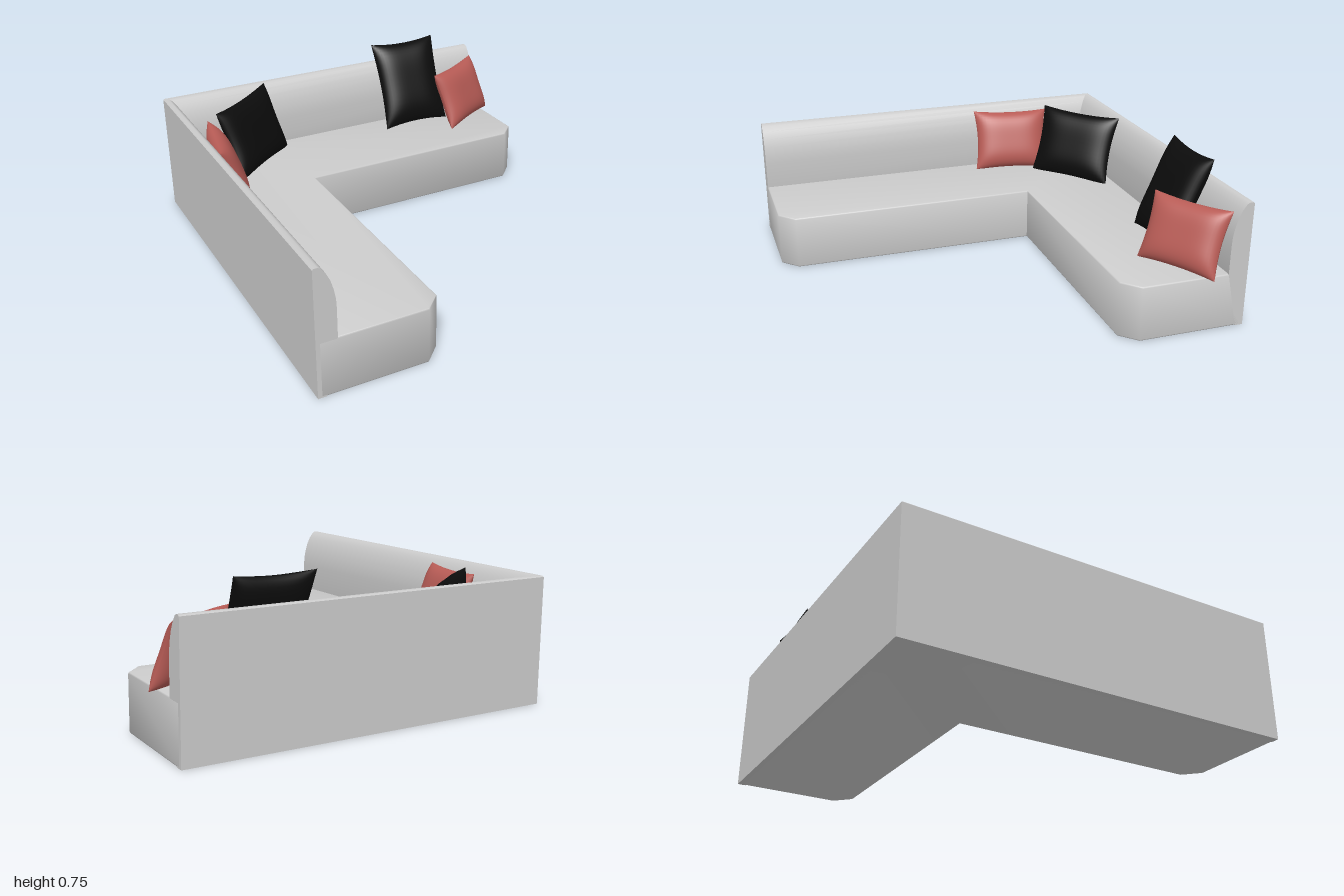
import * as THREE from 'three';
import { mergeGeometries, toCreasedNormals } from 'three/addons/utils/BufferGeometryUtils.js';

const grey = new THREE.MeshStandardMaterial({ color: 0xcccccc });
const red = new THREE.MeshStandardMaterial({ color: 0xb85c56 });
const black = new THREE.MeshStandardMaterial({ color: 0x0c0c0c });

const LEFT = -0.97, RIGHT = 0.93, BACK = -1, FRONT = 1, SEAT = 0.28;

function named(geometry, material, name) {
  const mesh = new THREE.Mesh(geometry, material);
  mesh.name = name;
  return mesh;
}

// L-shaped seat block with chamfered outer corners and softened edges
function seatGeometry() {
  const outline = [
    [LEFT + 0.02, BACK + 0.02], [RIGHT, BACK + 0.02], [RIGHT, -0.46], [0.85, -0.38],
    [-0.36, -0.38], [-0.36, 0.92], [-0.44, FRONT], [LEFT + 0.02, FRONT],
  ];
  const shape = new THREE.Shape(outline.map(([x, z]) => new THREE.Vector2(x, -z)));
  const b = 0.008;
  const g = new THREE.ExtrudeGeometry(shape, {
    depth: SEAT - 2 * b, bevelThickness: b, bevelSize: b, bevelOffset: -b, bevelSegments: 2,
  });
  g.rotateX(-Math.PI / 2).translate(0, b, 0);
  return toCreasedNormals(g, 0.9);
}

// Backrest: one rounded section swept round the mitred corner
function backrestGeometry() {
  // [distance from the back face, height]
  const profile = [
    [0, 0], [0.04, 0], [0.1, SEAT], [0.1, 0.42], [0.098, 0.465], [0.09, 0.51], [0.077, 0.555],
    [0.058, 0.595], [0.038, 0.622], [0.024, 0.63], [0.006, 0.63], [0, 0.624],
  ];
  const stations = [
    ([d, y]) => [LEFT + d, y, FRONT],
    ([d, y]) => [LEFT + d, y, BACK + d],
    ([d, y]) => [RIGHT, y, BACK + d],
  ].map((place) => profile.map(place));
  const n = profile.length, pos = [];
  const tri = (a, b, c) => pos.push(...a, ...b, ...c);
  for (let s = 0; s < 2; s++) {
    const A = stations[s], B = stations[s + 1];
    for (let i = 0; i < n; i++) {
      const j = (i + 1) % n;
      tri(A[i], B[i], B[j]);
      tri(A[i], B[j], A[j]);
    }
  }
  // End caps
  for (let i = 1; i < n - 1; i++) {
    tri(stations[0][0], stations[0][i], stations[0][i + 1]);
    tri(stations[2][0], stations[2][i + 1], stations[2][i]);
  }
  const g = new THREE.BufferGeometry();
  g.setAttribute('position', new THREE.Float32BufferAttribute(pos, 3));
  return toCreasedNormals(g, 0.7);
}

// Cushion: two bulging panels that meet in a seam with pulled-out corners
function cushionGeometry(width, height, thickness) {
  const panel = () => {
    const g = new THREE.PlaneGeometry(2, 2, 24, 24);
    const p = g.attributes.position;
    for (let i = 0; i < p.count; i++) {
      // Crowd the grid towards the seam, where the bulge is steepest
      const u = Math.sin(p.getX(i) * Math.PI / 2), v = Math.sin(p.getY(i) * Math.PI / 2);
      const fill = Math.max(0, (1 - u ** 4) * (1 - v ** 4));
      p.setXYZ(i,
        u * width / 2 * (1 - 0.08 * (1 - v * v)),
        v * height / 2 * (1 - 0.07 * (1 - u * u)),
        thickness / 2 * Math.pow(fill, 0.6));
    }
    g.computeVertexNormals();
    return g;
  };
  return mergeGeometries([panel(), panel().rotateY(Math.PI)]);
}

export function createModel() {
  const model = new THREE.Group();
  model.name = 'cornerSofa';
  model.add(named(seatGeometry(), grey, 'seat'), named(backrestGeometry(), grey, 'backrest'));

  // Cushions: name, material, size, centre, yaw and backward lean in degrees
  const cushions = [
    ['cornerCushion', black, [0.49, 0.39, 0.12], [-0.56, 0.452, -0.745], 38.5, 20],
    ['tallCushion', black, [0.4, 0.5, 0.13], [0.46, 0.52, -0.838], 0, 23],
    ['sideCushion', red, [0.43, 0.345, 0.12], [-0.815, 0.437, -0.44], 80, 20],
    ['endCushion', red, [0.425, 0.335, 0.12], [0.763, 0.433, -0.745], 30, 22],
  ];
  for (const [name, material, size, centre, yaw, lean] of cushions) {
    const cushion = named(cushionGeometry(...size), material, name);
    cushion.position.set(...centre);
    cushion.rotation.set(-THREE.MathUtils.degToRad(lean), THREE.MathUtils.degToRad(yaw), 0, 'YXZ');
    model.add(cushion);
  }
  return model;
}
